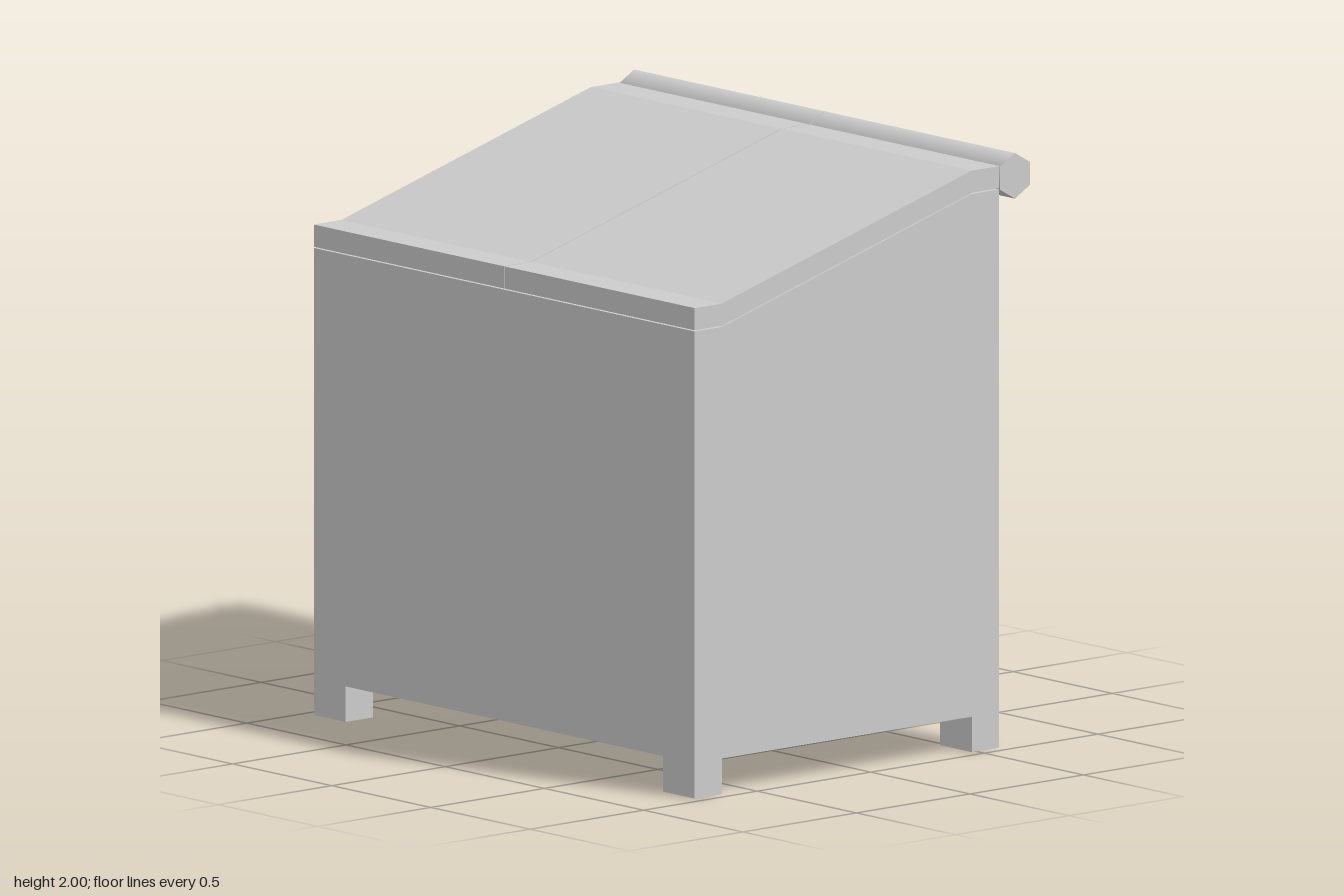
import * as THREE from 'three';

const WIDTH = 1.92, FRONT = 0.74, BACK = -0.6, SEAM = 0.004;

export function createModel() {
  const group = new THREE.Group();
  const material = new THREE.MeshStandardMaterial({ color: 0xcccccc });

  function add(name, geometry, parent = group) {
    const mesh = new THREE.Mesh(geometry, material);
    mesh.name = name;
    parent.add(mesh);
    return mesh;
  }

  // Extrudes a [z, y] side profile across x, between x0 and x1
  function sideExtrude(points, x0, x1) {
    const shape = new THREE.Shape(points.map(([z, y]) => new THREE.Vector2(z, y)));
    return new THREE.ExtrudeGeometry(shape, { depth: x1 - x0, bevelEnabled: false })
      .rotateY(-Math.PI / 2)
      .translate(x1, 0, 0);
  }

  // Line of the sloping top, front to back, with level ends
  const slope = (lift) => [
    [FRONT, 1.58 + lift], [0.62, 1.58 + lift], [-0.48, 1.888 + lift], [BACK, 1.888 + lift],
  ];

  // Bin body
  add('body', sideExtrude([[BACK, 0.12], [FRONT, 0.12], ...slope(-0.002)], -WIDTH / 2, WIDTH / 2));

  // Corner feet
  for (const side of [-1, 1]) {
    for (const [end, z] of [['front', 0.68], ['back', -0.54]]) {
      add(`${end}${side > 0 ? 'Left' : 'Right'}Foot`, new THREE.BoxGeometry(0.16, 0.12, 0.12))
        .position.set(side * 0.88, 0.06, z);
    }
  }

  // Two lid halves, each with its hexagonal hinge roll at the back
  const lidProfile = [...slope(0.002), ...slope(0.077).reverse()];
  for (const side of [-1, 1]) {
    const lid = new THREE.Group();
    lid.name = side > 0 ? 'leftLid' : 'rightLid';
    group.add(lid);
    const inner = side * SEAM / 2, outer = side * WIDTH / 2;
    add('lidPanel', sideExtrude(lidProfile, Math.min(inner, outer), Math.max(inner, outer)), lid);
    const roll = new THREE.CylinderGeometry(0.077, 0.077, (WIDTH - SEAM) / 2, 6, 1, false, Math.PI / 2)
      .rotateZ(Math.PI / 2);
    add('hingeRoll', roll, lid).position.set((inner + outer) / 2, 1.923, -0.67);
  }
  return group;
}
